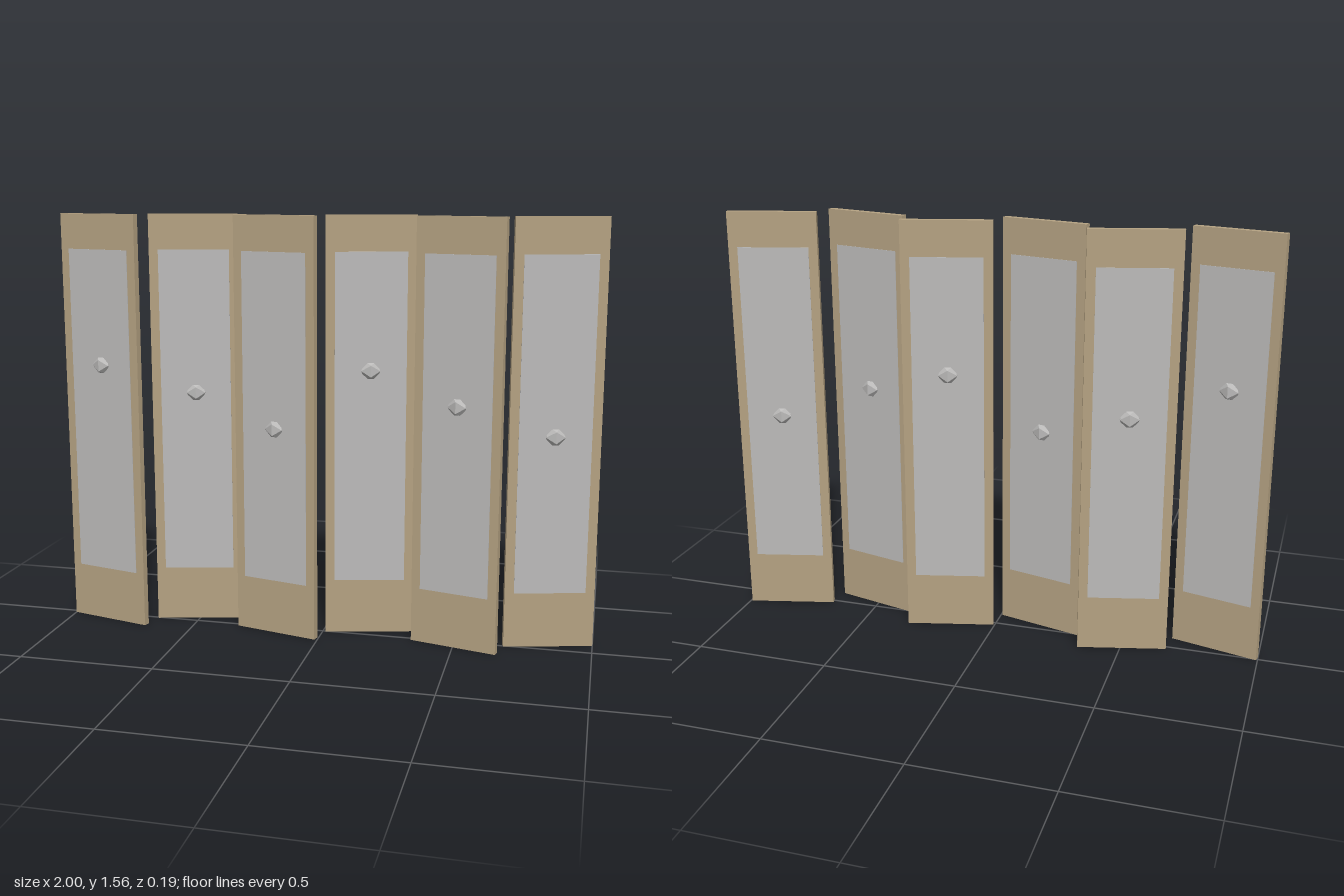
import * as THREE from 'three';

const HEIGHT = 1.56, WIDTH = 0.329, THICK = 0.025;
const PITCH = 0.335, FOLD = 0.245, OFFSET = 0.045;
const KNOB_HEIGHTS = [1.0, 0.895, 0.785];

export function createModel() {
  const model = new THREE.Group();
  model.name = 'foldingScreen';

  const wood = new THREE.MeshStandardMaterial({ color: 0xb5a282 });
  wood.name = 'tan wood';
  const pane = new THREE.MeshStandardMaterial({ color: 0xbcbbba });
  pane.name = 'pale grey';

  const boardGeo = new THREE.BoxGeometry(WIDTH, HEIGHT, THICK);
  // Inlay runs through the board and stands slightly proud of both faces
  const inlayGeo = new THREE.BoxGeometry(0.262, 1.225, THICK + 0.003);
  // Faceted knob pokes out of both faces
  const knobGeo = new THREE.IcosahedronGeometry(0.041, 0);
  knobGeo.scale(1, 1, 0.9);

  const add = (group, name, geometry, material, y) => {
    const mesh = new THREE.Mesh(geometry, material);
    mesh.name = name;
    mesh.position.y = y;
    group.add(mesh);
  };

  // Six separate panels, alternately angled in a zigzag
  for (let i = 0; i < 6; i++) {
    const side = i % 2 === 0 ? 1 : -1;
    const panel = new THREE.Group();
    panel.name = 'panel' + (i + 1);
    panel.position.set((i - 2.5) * PITCH, 0, side * OFFSET);
    panel.rotation.y = -side * FOLD;
    add(panel, 'board', boardGeo, wood, HEIGHT / 2);
    add(panel, 'inlay', inlayGeo, pane, 0.8175);
    add(panel, 'knob', knobGeo, pane, KNOB_HEIGHTS[i % 3]);
    model.add(panel);
  }
  return model;
}
